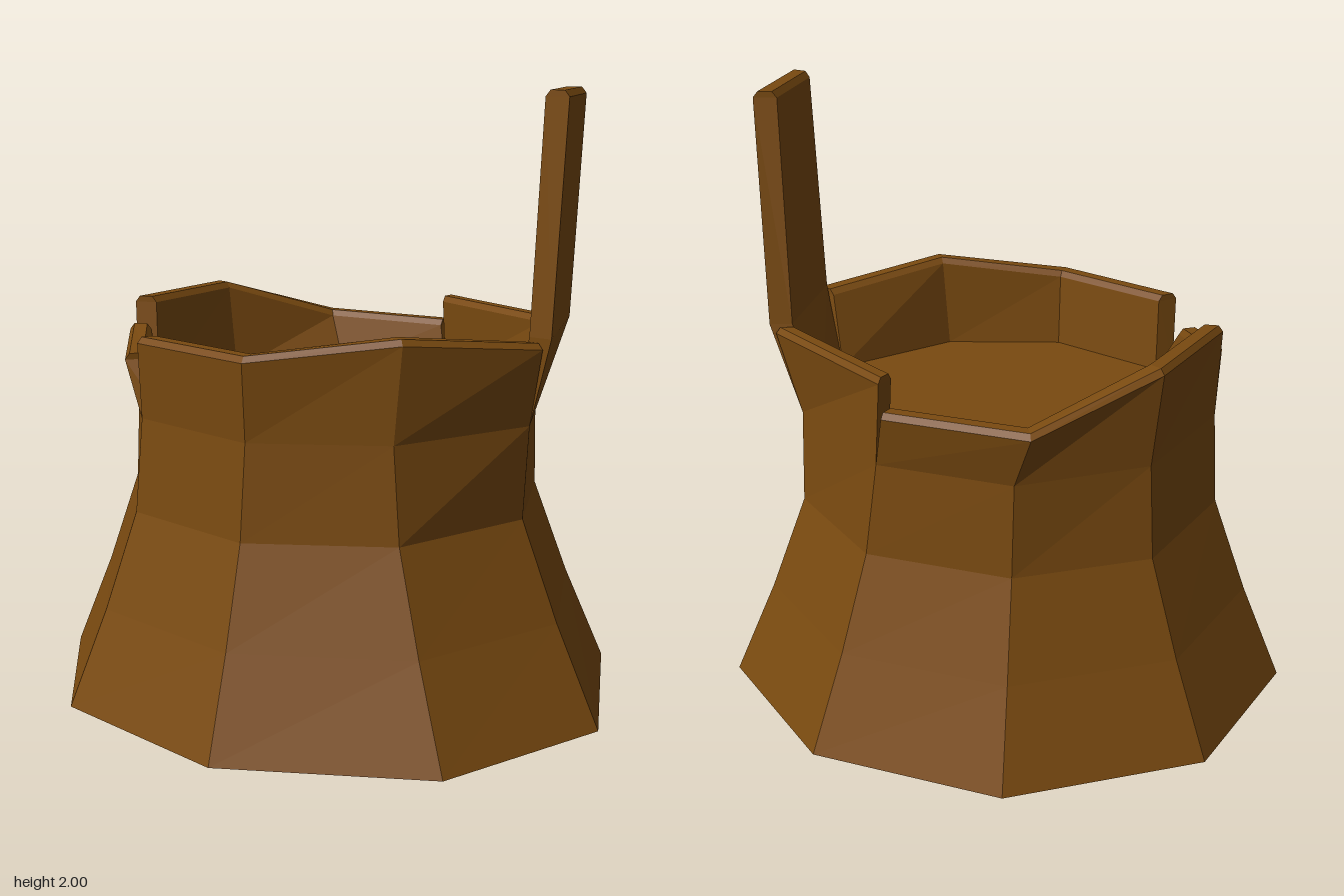
import * as THREE from 'three';

const FLOOR = 0.95;

// Nine-sided outlines as [x, z], counter-clockwise seen from above
const base = [[0.91, 0], [0.7, -0.62], [0.13, -0.99], [-0.49, -0.88], [-0.91, -0.38],
  [-0.91, 0.3], [-0.49, 0.87], [0.13, 0.985], [0.7, 0.59]];
const waist = [[0.67, -0.03], [0.5, -0.49], [0.11, -0.745], [-0.38, -0.66], [-0.695, -0.28],
  [-0.695, 0.22], [-0.39, 0.6], [0.11, 0.68], [0.51, 0.42]];
const neck = [[0.645, -0.06], [0.49, -0.49], [0.1, -0.72], [-0.38, -0.64], [-0.67, -0.27],
  [-0.67, 0.22], [-0.385, 0.57], [0.11, 0.7], [0.49, 0.43]];

const lift = (ring, y) => ring.map(([x, z]) => [x, y, z]);
const scaled = ([x, y, z], s, dy = 0) => [x * s, y + dy, z * s];

function quad(out, a, b, c, d) {
  out.push(...a, ...b, ...c, ...a, ...c, ...d);
}

function makeMesh(name, positions, material) {
  const geometry = new THREE.BufferGeometry();
  geometry.setAttribute('position', new THREE.Float32BufferAttribute(positions, 3));
  geometry.computeVertexNormals(); // unshared corners give flat facets
  const mesh = new THREE.Mesh(geometry, material);
  mesh.name = name;
  return mesh;
}

// A piece of broken rim: each path is one corner's outer line from neck to tip
function rimPiece(name, paths, material) {
  const out = [];
  const sections = paths.map(([corner, ...points]) => {
    const [nx, nz] = neck[corner];
    const outer = [[nx, FLOOR, nz], ...points];
    const tip = outer.pop();
    const half = [...outer, scaled(tip, 1, -0.02), scaled(tip, 0.98)];
    const inner = [scaled(tip, 0.92), scaled(tip, 0.9, -0.02),
      ...outer.reverse().map((p) => scaled(p, 0.9))];
    return [...half, ...inner];
  });
  const n = sections[0].length;
  for (let i = 0; i < sections.length - 1; i++) {
    const a = sections[i], b = sections[i + 1];
    for (let j = 0; j < n - 1; j++) quad(out, a[j], b[j], b[j + 1], a[j + 1]);
  }
  // Broken ends
  const first = sections[0], last = sections[sections.length - 1];
  for (let j = 0; j < n / 2 - 1; j++) {
    quad(out, first[j], first[j + 1], first[n - 2 - j], first[n - 1 - j]);
    quad(out, last[n - 1 - j], last[n - 2 - j], last[j + 1], last[j]);
  }
  return makeMesh(name, out, material);
}

export function createModel() {
  const group = new THREE.Group();
  group.name = 'brokenStump';
  const bark = new THREE.MeshStandardMaterial({ color: 0x7a4a10, side: THREE.DoubleSide });
  bark.name = 'brown bark';

  // Flared trunk, open underneath
  const flare = base.map(([x, z], i) => [
    THREE.MathUtils.lerp(x, waist[i][0], 0.54), THREE.MathUtils.lerp(z, waist[i][1], 0.54)]);
  const rings = [lift(base, 0), lift(flare, 0.32), lift(waist, 0.64), lift(neck, FLOOR)];
  const trunk = [];
  for (let r = 0; r < rings.length - 1; r++) {
    for (let i = 0; i < 9; i++) {
      const k = (i + 1) % 9;
      quad(trunk, rings[r][i], rings[r][k], rings[r + 1][k], rings[r + 1][i]);
    }
  }
  group.add(makeMesh('trunk', trunk, bark));

  // Floor of the hollow
  const floor = [];
  const top = rings[3];
  for (let i = 0; i < 9; i++) floor.push(0, FLOOR, 0, ...top[i], ...top[(i + 1) % 9]);
  group.add(makeMesh('hollowFloor', floor, bark));

  // Rim pieces, parted by narrow V-shaped splits
  group.add(rimPiece('frontRightRim', [
    [4, [-0.69, 1.22, -0.26]], [5, [-0.69, 1.22, 0.23]],
    [6, [-0.37, 1.275, 0.59]], [7, [0.09, 1.225, 0.76]]], bark));
  group.add(rimPiece('tallSplinter', [
    [7, [0.1, 1.24, 0.785], [0.12, 2, 0.815]],
    [8, [0.51, 1.24, 0.55], [0.46, 2, 0.63]]], bark));
  group.add(rimPiece('leftRim', [
    [8, [0.51, 1.235, 0.52]], [0, [0.63, 1.235, -0.065]]], bark));
  group.add(rimPiece('backRim', [
    [0, [0.665, 1.14, -0.105]], [1, [0.51, 1.145, -0.57]],
    [2, [0.09, 1.275, -0.75]], [3, [-0.365, 1.275, -0.665]]], bark));
  group.add(rimPiece('lowBackRim', [
    [3, [-0.42, 1.19, -0.63]], [4, [-0.63, 1.14, -0.4]]], bark));

  return group;
}
